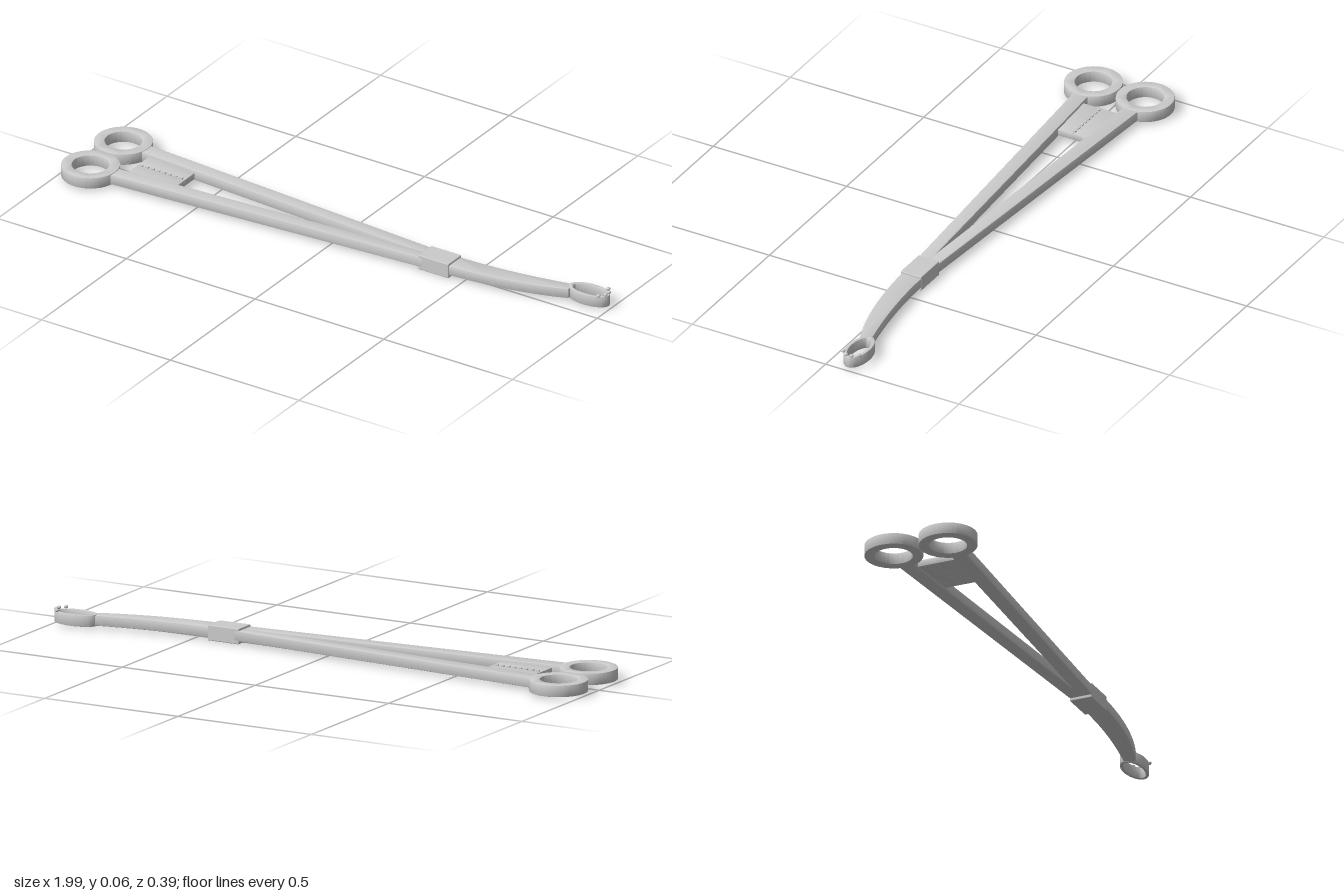
import * as THREE from 'three';
import { toCreasedNormals } from 'three/addons/utils/BufferGeometryUtils.js';
import { RoundedBoxGeometry } from 'three/addons/geometries/RoundedBoxGeometry.js';

const steel = new THREE.MeshStandardMaterial({ color: 0xcccccc });

export function createModel() {
  const group = new THREE.Group();

  const add = (name, geometry, x = 0, y = 0, z = 0) => {
    const mesh = new THREE.Mesh(geometry, steel);
    mesh.name = name;
    mesh.position.set(x, y, z);
    group.add(mesh);
    return mesh;
  };

  // Plate from a plan outline in (x, z), between heights y0 and y1, with a fine bevel
  const plate = (shape, y0, y1, bevel = 0.002) => {
    const geometry = new THREE.ExtrudeGeometry(shape, {
      depth: y1 - y0 - 2 * bevel, bevelThickness: bevel, bevelSize: bevel,
      bevelOffset: -bevel, bevelSegments: 2, curveSegments: 48,
    });
    geometry.rotateX(Math.PI / 2).translate(0, y1 - bevel, 0);
    return toCreasedNormals(geometry, 0.5);
  };

  const outline = (points) => new THREE.Shape(points.map(([x, z]) => new THREE.Vector2(x, z)));

  // Flat elliptical ring around the origin
  const ring = (rx, rz, holeX, holeZ) => {
    const shape = new THREE.Shape().absellipse(0, 0, rx, rz, 0, Math.PI * 2);
    shape.holes.push(new THREE.Path().absellipse(0, 0, holeX, holeZ, 0, Math.PI * 2, true));
    return shape;
  };

  // Mirrored finger rings, handle arms and ratchet plates
  for (const s of [-1, 1]) {
    const side = s > 0 ? 'front' : 'back';
    add(side + 'FingerRing', plate(ring(0.096, 0.096, 0.061, 0.061), 0.008, 0.047), -0.904, 0, s * 0.097);
    add(side + 'HandleArm', plate(outline([
      [-0.83, s * 0.068], [0.36, s * -0.006], [0.36, s * 0.038], [-0.83, s * 0.122],
    ]), 0.01, 0.045, 0.004));
    add(side + 'RatchetPlate', plate(outline([
      [-0.785, 0], [-0.6, 0], [-0.6, s * 0.062], [-0.785, s * 0.075],
    ]), 0.014, 0.036, 0.001));
  }

  // Ratchet teeth along the meeting edge
  for (let i = 0; i < 8; i++) {
    add('ratchetTooth', new THREE.BoxGeometry(0.012, 0.006, 0.008), -0.77 + i * 0.022, 0.037, 0);
  }

  // Box joint
  add('boxJoint', new RoundedBoxGeometry(0.117, 0.052, 0.078, 2, 0.003), 0.389, 0.026, 0);

  // Curved shank sweeping towards the jaw
  const shank = new THREE.Shape();
  shank.moveTo(0.42, -0.037);
  shank.bezierCurveTo(0.58, -0.037, 0.72, -0.03 - 0.027, 0.858, -0.088);
  shank.lineTo(0.858, -0.046);
  shank.bezierCurveTo(0.74, 0.002, 0.6, 0.03, 0.42, 0.037);
  add('curvedShank', plate(shank, 0.01, 0.045, 0.004));

  // Oval jaw with gripping studs at its tip
  const jawX = 0.918, jawZ = -0.079;
  add('ovalJaw', plate(ring(0.076, 0.039, 0.063, 0.028), 0.008, 0.047), jawX, 0, jawZ);
  for (const [x, z] of [[0.972, -0.109], [0.987, -0.089], [0.987, -0.069], [0.972, -0.05]]) {
    add('gripStud', new THREE.SphereGeometry(0.007, 16, 10), x, 0.052, z).scale.y = 0.8;
  }

  return group;
}
